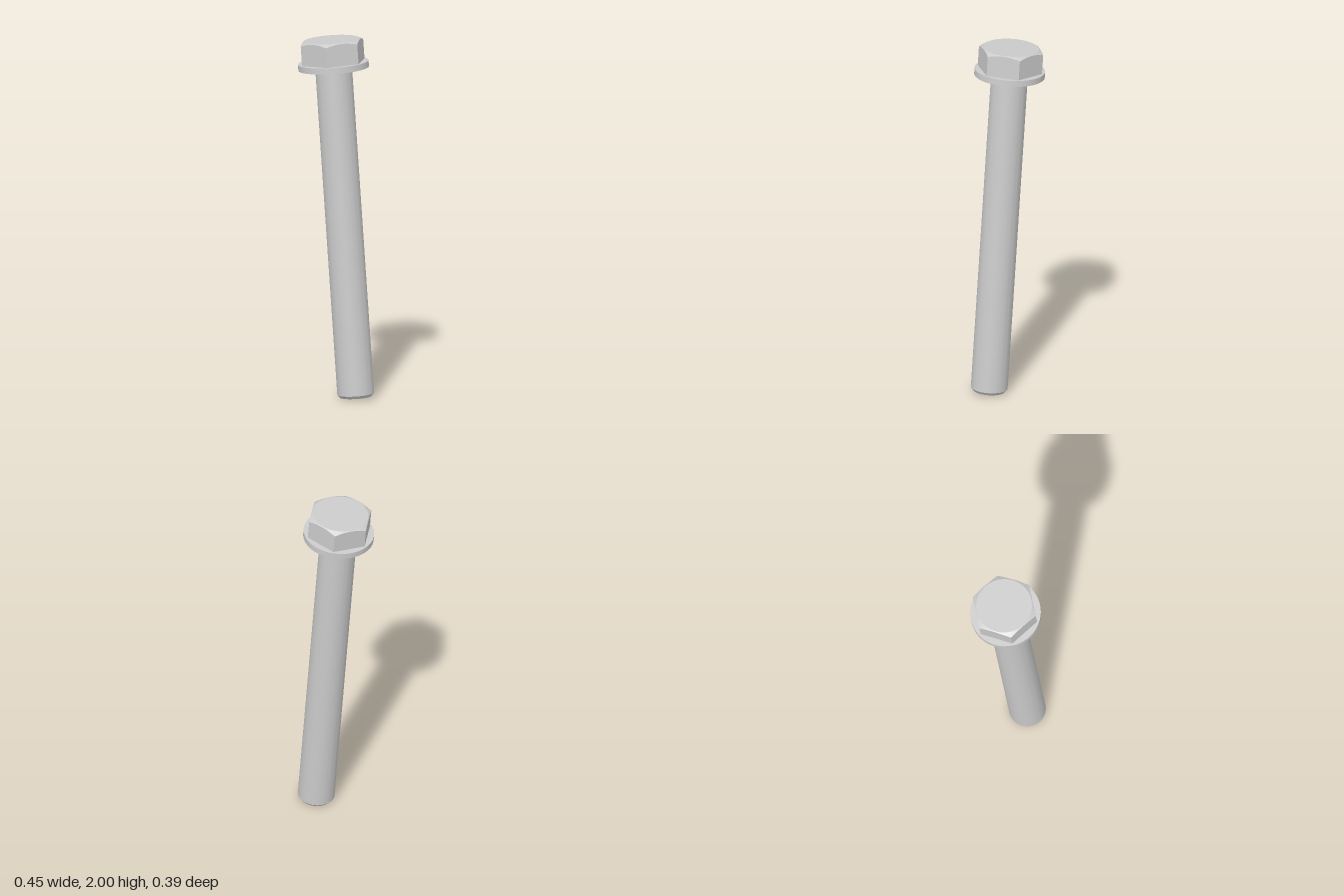
import * as THREE from 'three';
import { toCreasedNormals } from 'three/addons/utils/BufferGeometryUtils.js';

const SEGMENTS = 96;
const material = new THREE.MeshStandardMaterial({ color: 0xcccccc });

// Heights along the bolt axis, measured from the tip
const FLANGE_BOTTOM = 1.828, FLANGE_TOP = 1.862, HEAD_TOP = 1.988;
const SHAFT_RADIUS = 0.101, FLANGE_RADIUS = 0.194;
const HEX_INRADIUS = 0.158, CROWN_RADIUS = 0.153;

function lathe(profile) {
  return new THREE.LatheGeometry(profile.map(([r, y]) => new THREE.Vector2(r, y)), SEGMENTS);
}

function part(name, geometry) {
  const mesh = new THREE.Mesh(toCreasedNormals(geometry, 0.35), material);
  mesh.name = name;
  return mesh;
}

// Hexagon radius at an angle, with corners on the x axis
function hexRadius(angle) {
  const sector = Math.PI / 3;
  const offset = angle - Math.round(angle / sector) * sector;
  return HEX_INRADIUS / Math.cos(offset);
}

// Hex head: a lathe pressed into a hexagon, its rim lowered by a 30 degree chamfer
function headGeometry() {
  const geometry = lathe([[0.2, FLANGE_TOP], [0.2, HEAD_TOP], [CROWN_RADIUS, HEAD_TOP], [0, HEAD_TOP]]);
  const pos = geometry.attributes.position;
  for (let i = 0; i < pos.count; i++) {
    const x = pos.getX(i), z = pos.getZ(i);
    if (Math.hypot(x, z) < 0.18) continue;
    const angle = Math.atan2(x, z);
    const r = hexRadius(angle);
    pos.setX(i, r * Math.sin(angle));
    pos.setZ(i, r * Math.cos(angle));
    if (pos.getY(i) > FLANGE_TOP + 0.01) {
      pos.setY(i, HEAD_TOP - (r - CROWN_RADIUS) * Math.tan(Math.PI / 6));
    }
  }
  return geometry;
}

export function createModel() {
  const bolt = new THREE.Group();
  bolt.name = 'flangeBolt';

  // Shaft with a chamfered tip and a small fillet under the flange
  bolt.add(part('shaft', lathe([
    [0, 0], [0.088, 0], [SHAFT_RADIUS, 0.016],
    [SHAFT_RADIUS, FLANGE_BOTTOM - 0.012],
    [SHAFT_RADIUS + 0.004, FLANGE_BOTTOM - 0.004],
    [SHAFT_RADIUS + 0.012, FLANGE_BOTTOM],
  ])));

  // Round flange
  bolt.add(part('flange', lathe([
    [SHAFT_RADIUS, FLANGE_BOTTOM], [FLANGE_RADIUS, FLANGE_BOTTOM],
    [FLANGE_RADIUS, FLANGE_TOP], [0.1, FLANGE_TOP],
  ])));

  bolt.add(part('hexHead', headGeometry()));

  // The whole bolt leans five degrees
  bolt.rotation.z = THREE.MathUtils.degToRad(5);
  bolt.position.set(0.127, 0.0077, 0);

  const model = new THREE.Group();
  model.name = 'model';
  model.add(bolt);
  return model;
}
